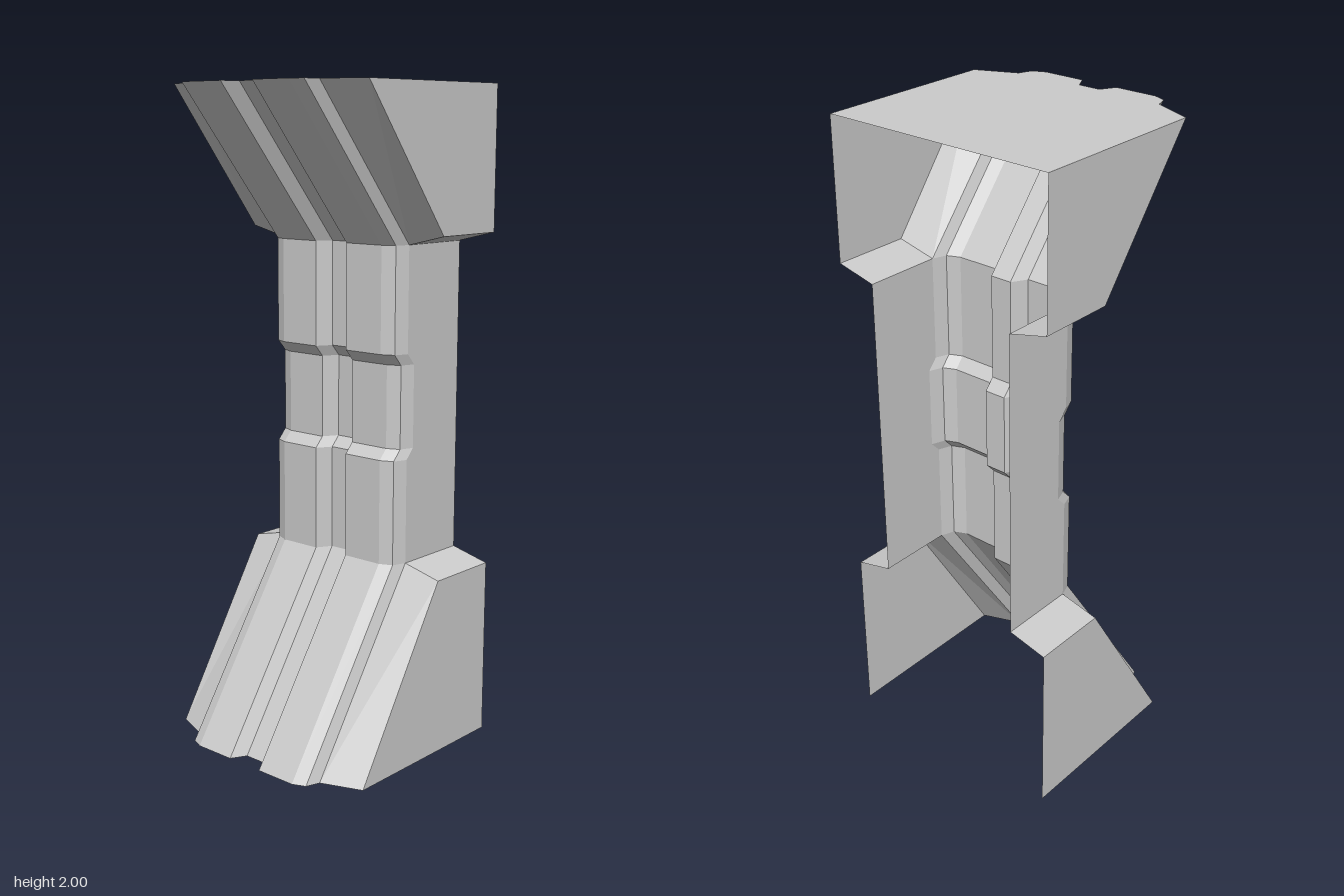
import * as THREE from 'three';

const material = new THREE.MeshStandardMaterial({ color: 0xcccccc, flatShading: true, side: THREE.DoubleSide });

// Half of the grooved face, as [x offset, z] from its outer corner to the centre groove
const FACE = [[0.06, 0.25], [0.017, 0.235], [0, 0.195], [0, 0.061], [0.047, 0.035]];
const BACK = 0.348;

// One cross-section: two side points plus the grooved face, mirrored across z.
// side = { x, z, y } is where the side wall meets the face; back = its open edge.
function ring(faceX, y, side) {
  const half = [
    [BACK, side.y, side.z],
    [side.x, side.y, side.z],
    ...FACE.map(([dx, z]) => [faceX + dx, y, z]),
  ];
  const mirrored = half.map(([x, py, z]) => [x, py, -z]).reverse();
  return [...half, ...mirrored].map((p) => new THREE.Vector3(...p));
}

// Column sections have no flare: the side wall starts at the face's corner
const columnRing = (x, y) => ring(x, y, { x: x + 0.06, z: 0.25, y });

// Skin a stack of rings from top to bottom, leaving the back open
function loft(name, rings) {
  const pts = [];
  const tri = (a, b, c) => {
    if (new THREE.Triangle(a, b, c).getArea() > 1e-7) pts.push(a, b, c);
  };
  for (let r = 0; r < rings.length - 1; r++) {
    const top = rings[r], low = rings[r + 1];
    for (let i = 0; i < top.length - 1; i++) {
      tri(top[i], top[i + 1], low[i + 1]);
      tri(top[i], low[i + 1], low[i]);
    }
  }
  const geometry = new THREE.BufferGeometry().setFromPoints(pts);
  geometry.computeVertexNormals();
  const mesh = new THREE.Mesh(geometry, material);
  mesh.name = name;
  return mesh;
}

export function createModel() {
  const group = new THREE.Group();
  group.name = 'pillar';

  const OUT = -0.348, SHAFT = 0.042, RECESS = 0.072;
  const topRing = ring(OUT, 2, { x: -0.233, z: 0.375, y: 2 });
  const shaftTop = columnRing(SHAFT, 1.54);
  const shaftBottom = columnRing(SHAFT, 0.578);

  // Flared head with its sloping underside ledge
  group.add(loft('head', [
    topRing,
    ring(SHAFT, 1.54, { x: 0.102, z: 0.375, y: 1.57 }),
    shaftTop,
  ]));

  // Narrow shaft with a recessed middle band
  group.add(loft('shaft', [
    shaftTop,
    columnRing(SHAFT, 1.22),
    columnRing(RECESS, 1.186),
    columnRing(RECESS, 0.932),
    columnRing(SHAFT, 0.9),
    shaftBottom,
  ]));

  // Flared foot, open underneath
  group.add(loft('foot', [
    shaftBottom,
    ring(SHAFT, 0.578, { x: 0.102, z: 0.375, y: 0.548 }),
    ring(OUT, 0, { x: -0.24, z: 0.375, y: 0 }),
  ]));

  // Flat lid following the head outline
  const lidShape = new THREE.Shape(topRing.map((p) => new THREE.Vector2(p.x, -p.z)));
  const lid = new THREE.Mesh(new THREE.ShapeGeometry(lidShape).rotateX(-Math.PI / 2), material);
  lid.name = 'lid';
  lid.position.y = 2;
  group.add(lid);

  return group;
}
